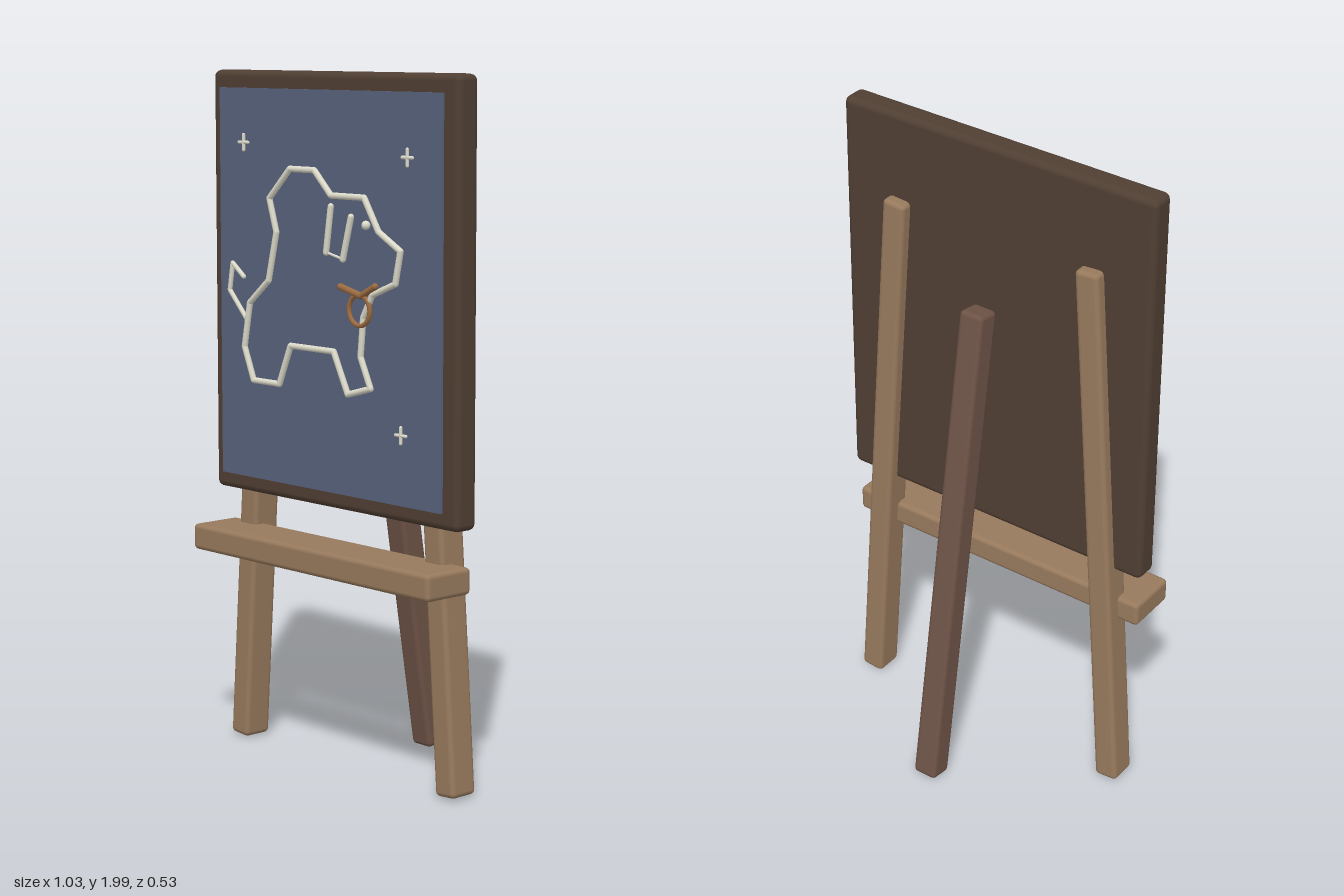
import * as THREE from 'three';
import { RoundedBoxGeometry } from 'three/addons/geometries/RoundedBoxGeometry.js';

const mat = (name, color) => new THREE.MeshStandardMaterial({ name, color });

export function createModel() {
  const group = new THREE.Group();
  const darkWood = mat('dark wood', 0x503f33);
  const lightWood = mat('light wood', 0x987a5d);
  const redWood = mat('reddish wood', 0x6e5347);
  const slate = mat('slate blue', 0x57637d);
  const chalk = mat('chalk', 0xdedccb);
  const copper = mat('copper', 0x9c6c42);

  const add = (name, geo, material, x = 0, y = 0, z = 0, parent = group) => {
    const mesh = new THREE.Mesh(geo, material);
    mesh.name = name;
    mesh.position.set(x, y, z);
    parent.add(mesh);
    return mesh;
  };
  const plank = (w, h, d, r) => new RoundedBoxGeometry(w, h, d, 2, r);

  // Board, writing surface and ledge
  add('board', plank(1.03, 1.23, 0.078, 0.02), darkWood, 0, 1.385, 0.128);
  add('writingSurface', new THREE.BoxGeometry(0.93, 1.13, 0.009), slate, 0, 1.385, 0.177);
  add('ledge', plank(1.01, 0.077, 0.165, 0.014), lightWood, 0, 0.63, 0.183);

  // Splayed front legs
  for (const s of [-1, 1]) {
    const leg = add(s < 0 ? 'rightFrontLeg' : 'leftFrontLeg',
      plank(0.075, 1.73, 0.09, 0.014), lightWood, s * 0.384, 0.877, 0.1);
    leg.rotation.z = s * 0.071;
  }

  // Leaning back leg
  const back = add('backLeg', plank(0.078, 1.535, 0.076, 0.014), redWood, 0, 0.77, -0.105);
  back.rotation.x = 0.159;

  // Rods along a polyline, with a small ball at every joint
  const strokes = (name, points, radius, material, z, closed = false) => {
    const part = new THREE.Group();
    part.name = name;
    const pts = points.map(([x, y]) => new THREE.Vector3(x, y, z));
    const count = closed ? pts.length : pts.length - 1;
    for (let i = 0; i < count; i++) {
      const a = pts[i], b = pts[(i + 1) % pts.length];
      const dir = b.clone().sub(a);
      const mid = a.clone().add(b).multiplyScalar(0.5);
      const rod = add(name + 'Stroke', new THREE.CylinderGeometry(radius, radius, dir.length(), 8),
        material, mid.x, mid.y, mid.z, part);
      rod.quaternion.setFromUnitVectors(new THREE.Vector3(0, 1, 0), dir.normalize());
    }
    for (const p of pts) {
      add(name + 'Joint', new THREE.SphereGeometry(radius, 8, 6), material, p.x, p.y, p.z, part);
    }
    group.add(part);
  };

  // Dog drawing
  strokes('dogOutline', [
    [-0.32, 1.335], [-0.235, 1.405], [-0.2, 1.545], [-0.23, 1.64], [-0.14, 1.727],
    [-0.035, 1.727], [0.035, 1.66], [0.172, 1.66], [0.23, 1.57], [0.318, 1.522],
    [0.298, 1.432], [0.205, 1.395], [0.168, 1.33], [0.157, 1.22], [0.198, 1.135],
    [0.104, 1.11], [0.045, 1.225], [-0.14, 1.225], [-0.19, 1.11], [-0.305, 1.11], [-0.345, 1.205],
  ], 0.009, chalk, 0.193, true);
  strokes('dogTail', [[-0.33, 1.28], [-0.412, 1.365], [-0.398, 1.445], [-0.348, 1.408]],
    0.007, chalk, 0.192);
  strokes('dogEarBack', [[0.034, 1.63], [0.014, 1.5]], 0.009, chalk, 0.193);
  strokes('dogEarFront', [[0.118, 1.605], [0.084, 1.485]], 0.009, chalk, 0.193);
  strokes('dogEarTip', [[0.014, 1.5], [0.084, 1.485]], 0.004, chalk, 0.19);
  add('dogEye', new THREE.SphereGeometry(0.013, 12, 8), chalk, 0.178, 1.585, 0.192);

  // Collar and its ring tag
  strokes('collar', [[0.08, 1.41], [0.165, 1.39], [0.222, 1.42]], 0.01, copper, 0.198);
  add('collarTag', new THREE.TorusGeometry(0.043, 0.007, 8, 20), copper, 0.158, 1.35, 0.198);

  // Small cross-shaped sparkles
  for (const [x, y] of [[-0.347, 1.795], [0.341, 1.775], [0.317, 1.018]]) {
    strokes('sparkle', [[x - 0.02, y], [x + 0.02, y]], 0.005, chalk, 0.19);
    strokes('sparkle', [[x, y - 0.022], [x, y + 0.022]], 0.005, chalk, 0.19);
  }
  return group;
}
